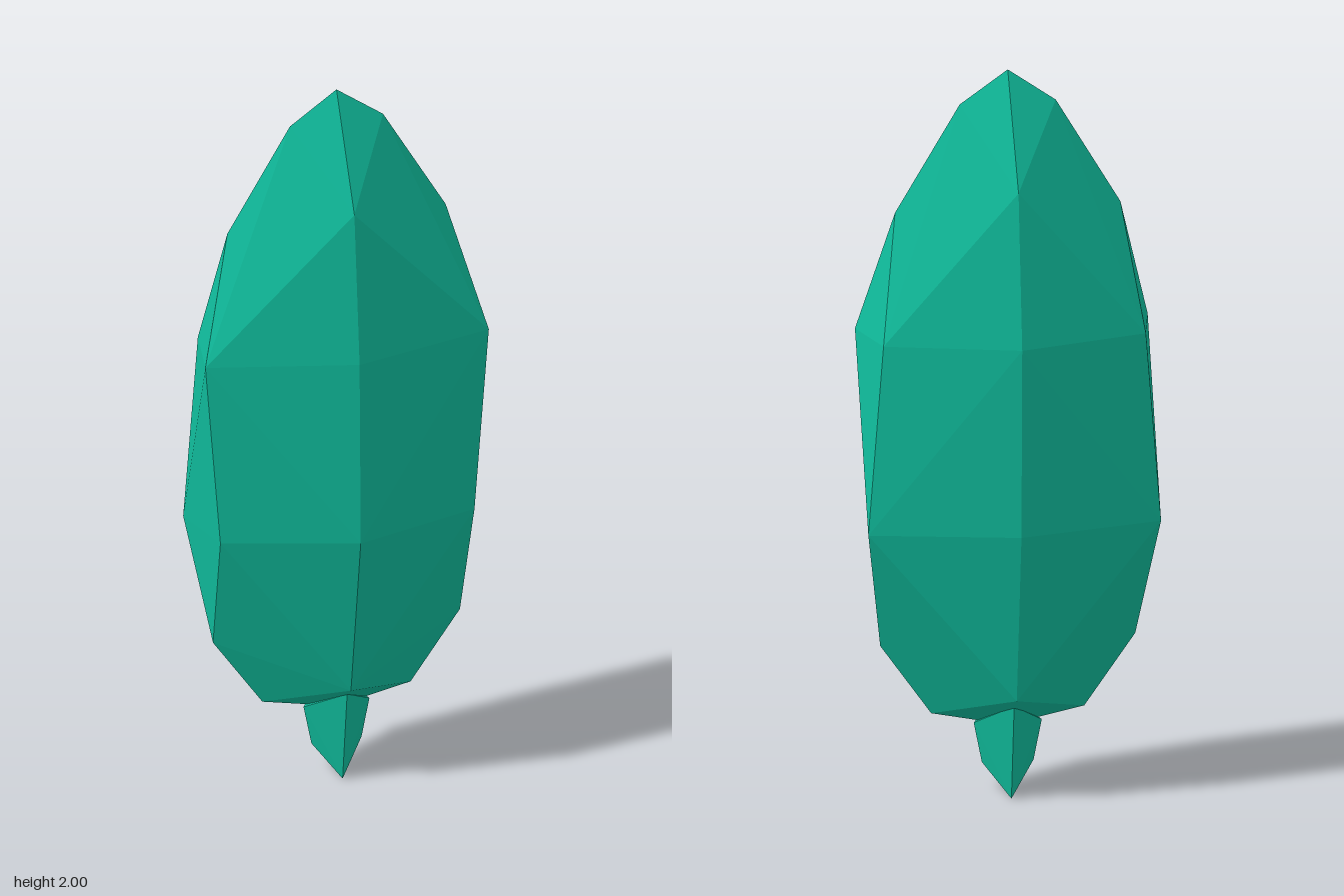
import * as THREE from 'three';
import { ConvexGeometry } from 'three/addons/geometries/ConvexGeometry.js';

// Faceted convex solid from points on the middle plane and points mirrored in x
function facetedSolid(name, centre, sides, material) {
  const points = centre.map(([y, z]) => new THREE.Vector3(0, y, z));
  for (const [x, y, z] of sides) {
    points.push(new THREE.Vector3(x, y, z), new THREE.Vector3(-x, y, z));
  }
  const mesh = new THREE.Mesh(new ConvexGeometry(points), material);
  mesh.name = name;
  return mesh;
}

export function createModel() {
  const group = new THREE.Group();
  group.name = 'gemTree';
  const green = new THREE.MeshStandardMaterial({ color: 0x10bc9c, flatShading: true });

  // Crown: front and back ridges [y, z], then the rim and side facets [x, y, z]
  group.add(facetedSolid('crown', [
    [2, 0],
    [1.7, 0.155], [1.28, 0.2], [0.76, 0.21], [0.29, 0.125],
    [1.7, -0.155], [1.28, -0.208], [0.76, -0.197], [0.29, -0.13],
    [0.19, 0],
  ], [
    [0.13, 1.91, 0], [0.305, 1.62, 0],
    [0.396, 1.28, 0.092], [0.355, 1.28, -0.1],
    [0.355, 0.76, 0.095], [0.396, 0.76, -0.1],
    [0.345, 0.425, 0], [0.207, 0.232, 0],
  ], green));

  // Stem: tapers to a short front-to-back edge at the ground
  group.add(facetedSolid('stem', [
    [0.265, 0.092], [0.265, -0.092], [0, 0.053], [0, -0.053],
  ], [
    [0.092, 0.2, 0], [0.07, 0.09, 0],
  ], green));

  return group;
}
